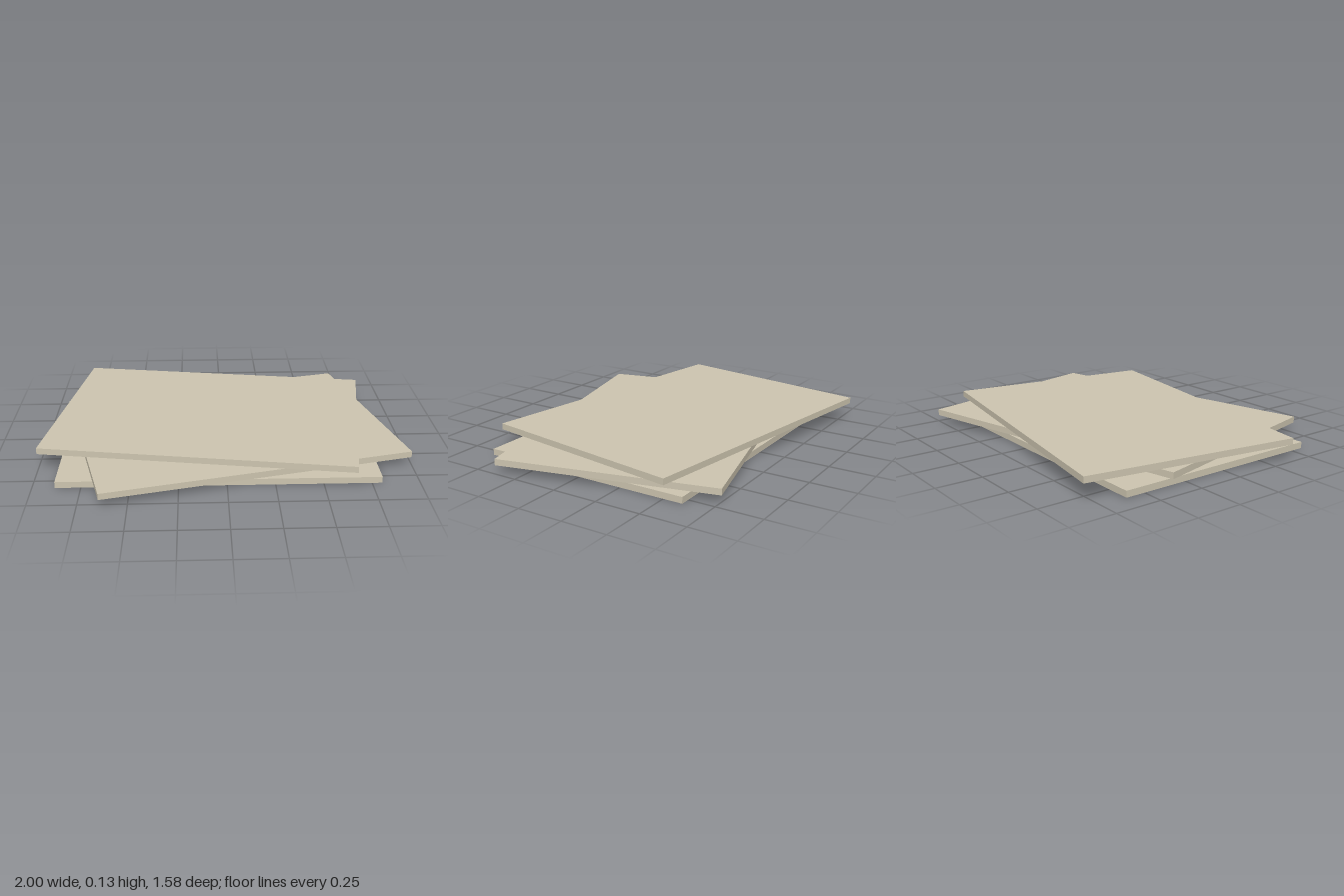
import * as THREE from 'three';

export function createModel() {
  const group = new THREE.Group();
  const paleStone = new THREE.MeshStandardMaterial({ color: 0xcdc5b0 });
  paleStone.name = 'paleStone';

  // Three equal slabs, loosely stacked with small gaps and turned about y
  const thickness = 0.034, spacing = 0.046;
  const slab = new THREE.BoxGeometry(1.685, thickness, 1.18);
  const slabs = [
    { name: 'bottomSlab', x: -0.04, z: -0.015, turn: 0 },
    { name: 'middleSlab', x: 0.037, z: 0.011, turn: 0.242 },
    { name: 'topSlab', x: -0.076, z: -0.08, turn: -0.158 },
  ];
  slabs.forEach(({ name, x, z, turn }, i) => {
    const mesh = new THREE.Mesh(slab, paleStone);
    mesh.name = name;
    mesh.position.set(x, thickness / 2 + i * spacing, z);
    mesh.rotation.y = turn;
    group.add(mesh);
  });
  return group;
}
